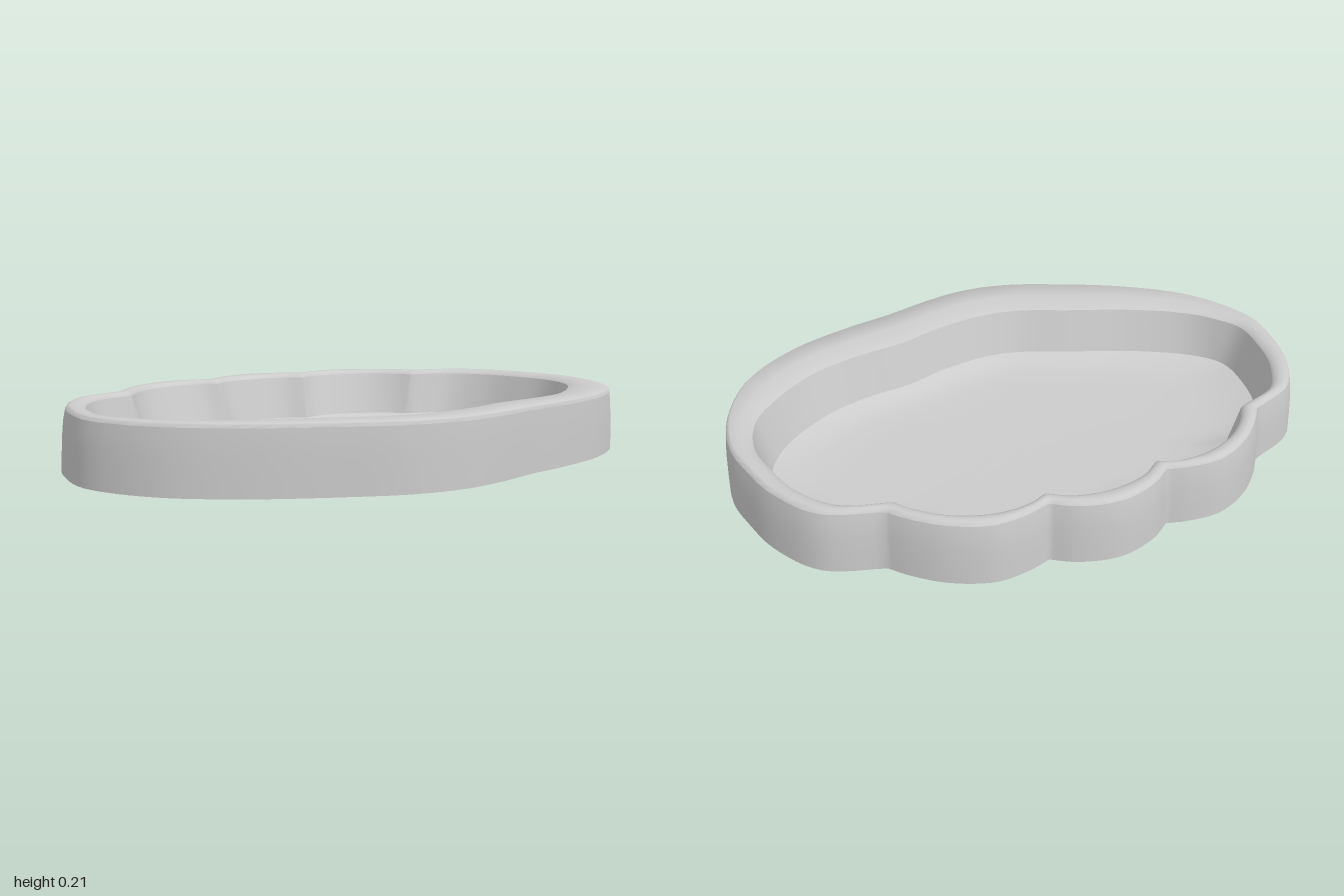
import * as THREE from 'three';
import { toCreasedNormals } from 'three/addons/utils/BufferGeometryUtils.js';

// Outlines as [x, z]: middle lobe, right back lobe, then the long sweep round the front.
const outer = {
  middle: [[-0.205, -0.64], [-0.13, -0.688], [0, -0.72], [0.13, -0.688], [0.205, -0.64]],
  lobe: [[0.205, -0.64], [0.28, -0.66], [0.39, -0.665], [0.52, -0.608], [0.61, -0.53], [0.66, -0.47]],
  sweep: [[0.66, -0.47], [0.84, -0.395], [0.94, -0.24], [0.98, -0.09], [0.998, 0.05], [0.957, 0.24],
    [0.835, 0.433], [0.64, 0.56], [0.43, 0.623], [0.243, 0.657], [0.056, 0.702], [-0.094, 0.719],
    [-0.265, 0.692], [-0.452, 0.61], [-0.672, 0.488], [-0.865, 0.33], [-0.968, 0.165], [-1, 0.04],
    [-0.982, -0.107], [-0.938, -0.25], [-0.836, -0.395], [-0.66, -0.47]],
};
const wallTop = {
  middle: [[-0.19, -0.575], [-0.12, -0.62], [0, -0.64], [0.12, -0.62], [0.19, -0.575]],
  lobe: [[0.19, -0.575], [0.25, -0.6], [0.36, -0.6], [0.48, -0.555], [0.56, -0.49], [0.61, -0.425]],
  sweep: [[0.61, -0.425], [0.76, -0.37], [0.855, -0.24], [0.895, -0.1], [0.91, 0.03], [0.87, 0.17],
    [0.77, 0.28], [0.6, 0.39], [0.43, 0.435], [0.25, 0.457], [0.1, 0.5], [-0.08, 0.52],
    [-0.22, 0.5], [-0.4, 0.42], [-0.62, 0.32], [-0.8, 0.2], [-0.88, 0.1], [-0.912, 0.03],
    [-0.895, -0.12], [-0.855, -0.24], [-0.76, -0.37], [-0.61, -0.425]],
};
const wallFoot = {
  middle: [[-0.175, -0.53], [-0.11, -0.575], [0, -0.595], [0.11, -0.575], [0.175, -0.53]],
  lobe: [[0.175, -0.53], [0.24, -0.55], [0.34, -0.55], [0.45, -0.51], [0.53, -0.455], [0.58, -0.4]],
  sweep: [[0.58, -0.4], [0.72, -0.35], [0.81, -0.235], [0.85, -0.1], [0.868, 0.03], [0.83, 0.14],
    [0.74, 0.245], [0.58, 0.345], [0.42, 0.393], [0.25, 0.412], [0.1, 0.455], [-0.08, 0.475],
    [-0.2, 0.455], [-0.38, 0.375], [-0.6, 0.275], [-0.78, 0.16], [-0.85, 0.08], [-0.868, 0.02],
    [-0.85, -0.12], [-0.81, -0.235], [-0.72, -0.35], [-0.58, -0.4]],
};

// Smooth arcs that meet in notches; the left lobe mirrors the right one.
function loop({ middle, lobe, sweep }) {
  const left = lobe.map(([x, z]) => [-x, z]).reverse();
  return [middle, lobe, sweep, left].flatMap((arc) => {
    const curve = new THREE.CatmullRomCurve3(arc.map(([x, z]) => new THREE.Vector3(x, 0, z)));
    return curve.getPoints((arc.length - 1) * 6).slice(0, -1);
  });
}

// Ring at height y, scaled about the point (0, pivotZ)
const ring = (points, scale, y, pivotZ = 0) => points.map((p) =>
  new THREE.Vector3(p.x * scale, y, pivotZ + (p.z - pivotZ) * scale));
const mix = (a, b, t, y) => a.map((p, i) => p.clone().lerp(b[i], t).setY(y));

// Skin a stack of rings, running upwards on the outside or inwards on top.
function skin(name, rings, crease) {
  const n = rings[0].length;
  const index = [];
  for (let r = 0; r < rings.length - 1; r++) {
    for (let i = 0; i < n; i++) {
      const a = r * n + i, b = r * n + (i + 1) % n;
      index.push(a, a + n, b, b, a + n, b + n);
    }
  }
  const geometry = new THREE.BufferGeometry().setFromPoints(rings.flat());
  geometry.setIndex(index);
  const material = new THREE.MeshStandardMaterial({ color: 0xcccccc, side: THREE.DoubleSide });
  const mesh = new THREE.Mesh(toCreasedNormals(geometry, crease), material);
  mesh.name = name;
  return mesh;
}

export function createModel() {
  const group = new THREE.Group();
  group.name = 'scallopedTray';
  const out = loop(outer), top = loop(wallTop), foot = loop(wallFoot);

  // Skirt open underneath, leaning in more at the back than at the front
  const lean = 0.4;
  const edge = ring(out, 0.985, 0.2, lean);
  group.add(skin('outerSkirt', [
    ring(out, 1, 0), ring(out, 0.998, 0.06, lean), ring(out, 0.995, 0.12, lean),
    ring(out, 0.991, 0.165, lean), edge,
  ], 1.2));

  // Rim with a rounded outer edge, dipping a little towards the basin
  const crown = ring(out, 0.972, 0.213, lean);
  group.add(skin('rim', [
    edge, ring(out, 0.98, 0.209, lean), crown,
    mix(crown, top, 0.5, 0.211), mix(crown, top, 0.85, 0.205), mix(crown, top, 1, 0.197),
  ], 1.2));

  // Sloping basin wall
  group.add(skin('basinWall', [0, 0.33, 0.66, 1].map((t) => mix(top, foot, t, 0.197 - 0.152 * t)), 0.6));

  // Dished floor, flat in the middle and close to the ground
  group.add(skin('basinFloor', [
    ring(foot, 1, 0.045), ring(foot, 0.95, 0.034), ring(foot, 0.88, 0.022),
    ring(foot, 0.8, 0.014), ring(foot, 0.65, 0.01), ring(foot, 0.001, 0.01),
  ], 0.6));
  return group;
}
